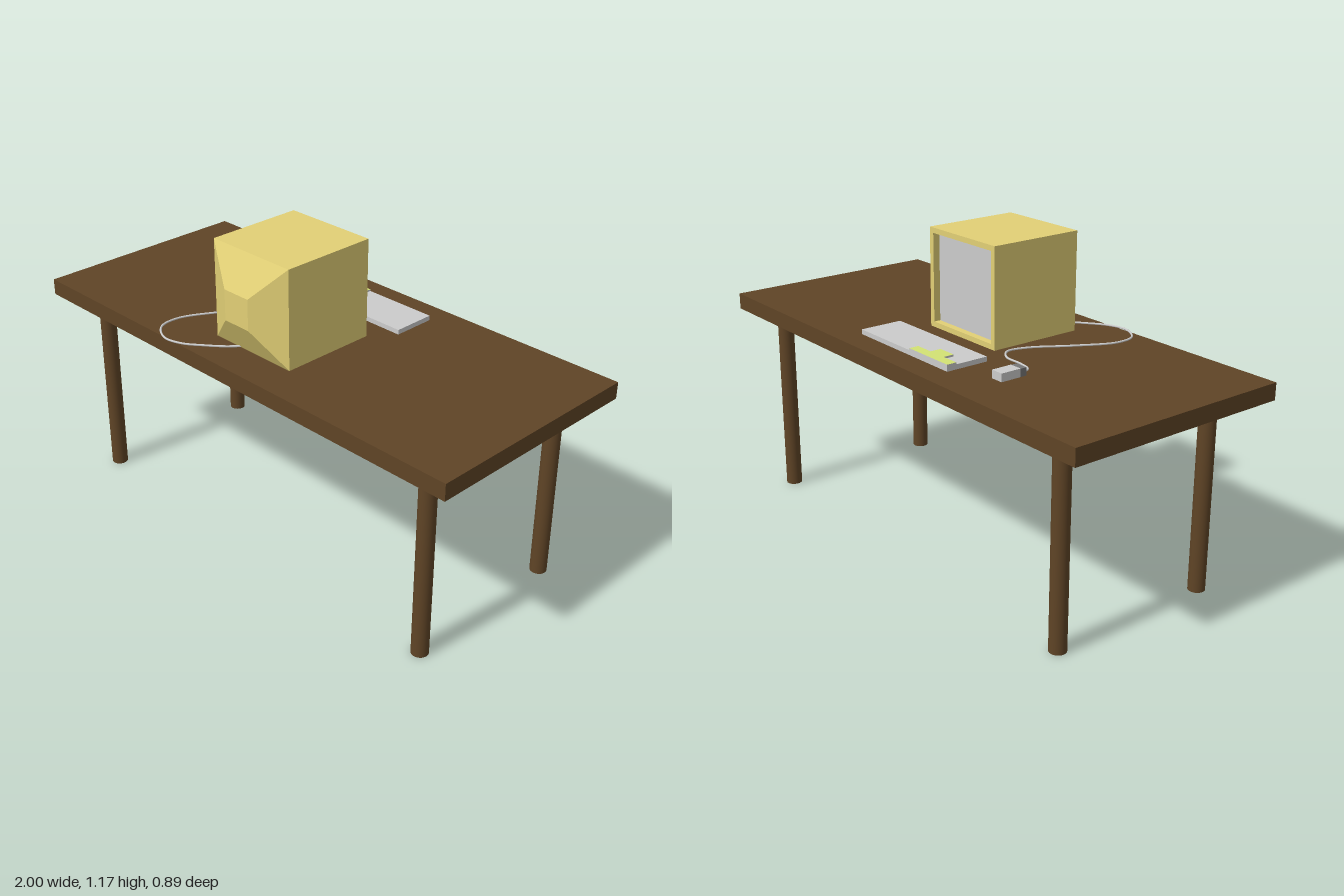
import * as THREE from 'three';

const mat = (color, extra = {}) => new THREE.MeshStandardMaterial({ color, ...extra });
const wood = mat(0x5f4426);
const beige = mat(0xe2d076, { flatShading: true });
const grey = mat(0xcccccc);
const darkGrey = mat(0x777777);
const green = mat(0xd3e274);
const TOP = 0.797; // table surface height

function add(parent, name, geometry, material) {
  const mesh = new THREE.Mesh(geometry, material);
  mesh.name = name;
  parent.add(mesh);
  return mesh;
}

// Box given by its limits on each axis
function block(parent, name, [x0, x1], [y0, y1], [z0, z1], material) {
  const mesh = add(parent, name, new THREE.BoxGeometry(x1 - x0, y1 - y0, z1 - z0), material);
  mesh.position.set((x0 + x1) / 2, (y0 + y1) / 2, (z0 + z1) / 2);
  return mesh;
}

function square(path, h) {
  path.moveTo(-h, -h).lineTo(h, -h).lineTo(h, h).lineTo(-h, h).closePath();
  return path;
}

function makeTable() {
  const table = new THREE.Group();
  table.name = 'table';
  block(table, 'tableTop', [-1, 1], [0.735, TOP], [-0.445, 0.43], wood);
  for (const x of [-0.82, 0.84])
    for (const z of [-0.332, 0.315])
      add(table, 'tableLeg', new THREE.CylinderGeometry(0.031, 0.031, 0.737, 32), wood)
        .position.set(x, 0.3685, z);
  return table;
}

// Monitor with its screen towards -z and a tapered back towards +z
function makeMonitor() {
  const monitor = new THREE.Group();
  monitor.name = 'monitor';
  const h = 0.186;
  block(monitor, 'housing', [-h, h], [-h, h], [-0.06, 0.285], beige);

  const frame = square(new THREE.Shape(), h);
  frame.holes.push(square(new THREE.Path(), h - 0.02));
  add(monitor, 'screenFrame', new THREE.ExtrudeGeometry(frame, { depth: 0.03, bevelEnabled: false }), beige)
    .position.z = -0.09;
  block(monitor, 'screen', [-h + 0.02, h - 0.02], [-h + 0.02, h - 0.02], [-0.063, -0.055], grey);

  const taper = new THREE.CylinderGeometry(0.058 * Math.SQRT2, h * Math.SQRT2, 0.068, 4);
  taper.rotateY(Math.PI / 4).rotateX(Math.PI / 2);
  add(monitor, 'taperedBack', taper, beige).position.z = 0.319;

  monitor.position.set(-0.002, TOP + h, 0);
  return monitor;
}

function makeKeyboard() {
  const keyboard = new THREE.Group();
  keyboard.name = 'keyboard';
  block(keyboard, 'keyboardBase', [-0.26, 0.255], [TOP, 0.815], [-0.348, -0.18], grey);

  // Raised T-shaped pad in the corner, drawn in x and -z
  const pad = new THREE.Shape([
    [-0.26, 0.348], [-0.26, 0.31], [-0.19, 0.31], [-0.19, 0.268],
    [-0.115, 0.268], [-0.115, 0.31], [-0.042, 0.31], [-0.042, 0.348],
  ].map(([x, y]) => new THREE.Vector2(x, y)));
  const padGeometry = new THREE.ExtrudeGeometry(pad, { depth: 0.007, bevelEnabled: false });
  padGeometry.rotateX(-Math.PI / 2);
  add(keyboard, 'keyPad', padGeometry, [green, grey]).position.y = 0.815;
  return keyboard;
}

function makeMouse() {
  const mouse = new THREE.Group();
  mouse.name = 'mouse';
  block(mouse, 'mouseBody', [-0.45, -0.4], [TOP, 0.827], [-0.27, -0.19], grey);
  block(mouse, 'mouseButtons', [-0.45, -0.4], [TOP, 0.826], [-0.19, -0.165], darkGrey);

  // Cable winding over the table to the back of the monitor
  const points = [
    [-0.425, -0.17], [-0.41, -0.125], [-0.355, -0.11], [-0.275, -0.105], [-0.225, -0.06],
    [-0.24, 0.02], [-0.32, 0.155], [-0.39, 0.3], [-0.38, 0.385], [-0.3, 0.435],
    [-0.225, 0.42], [-0.16, 0.375], [-0.1, 0.325], [-0.06, 0.28],
  ].map(([x, z]) => new THREE.Vector3(x, TOP + 0.003, z));
  const path = new THREE.CatmullRomCurve3(points);
  add(mouse, 'mouseCable', new THREE.TubeGeometry(path, 120, 0.004, 8), grey);
  return mouse;
}

export function createModel() {
  const model = new THREE.Group();
  model.name = 'computerDesk';
  model.add(makeTable(), makeMonitor(), makeKeyboard(), makeMouse());
  return model;
}
